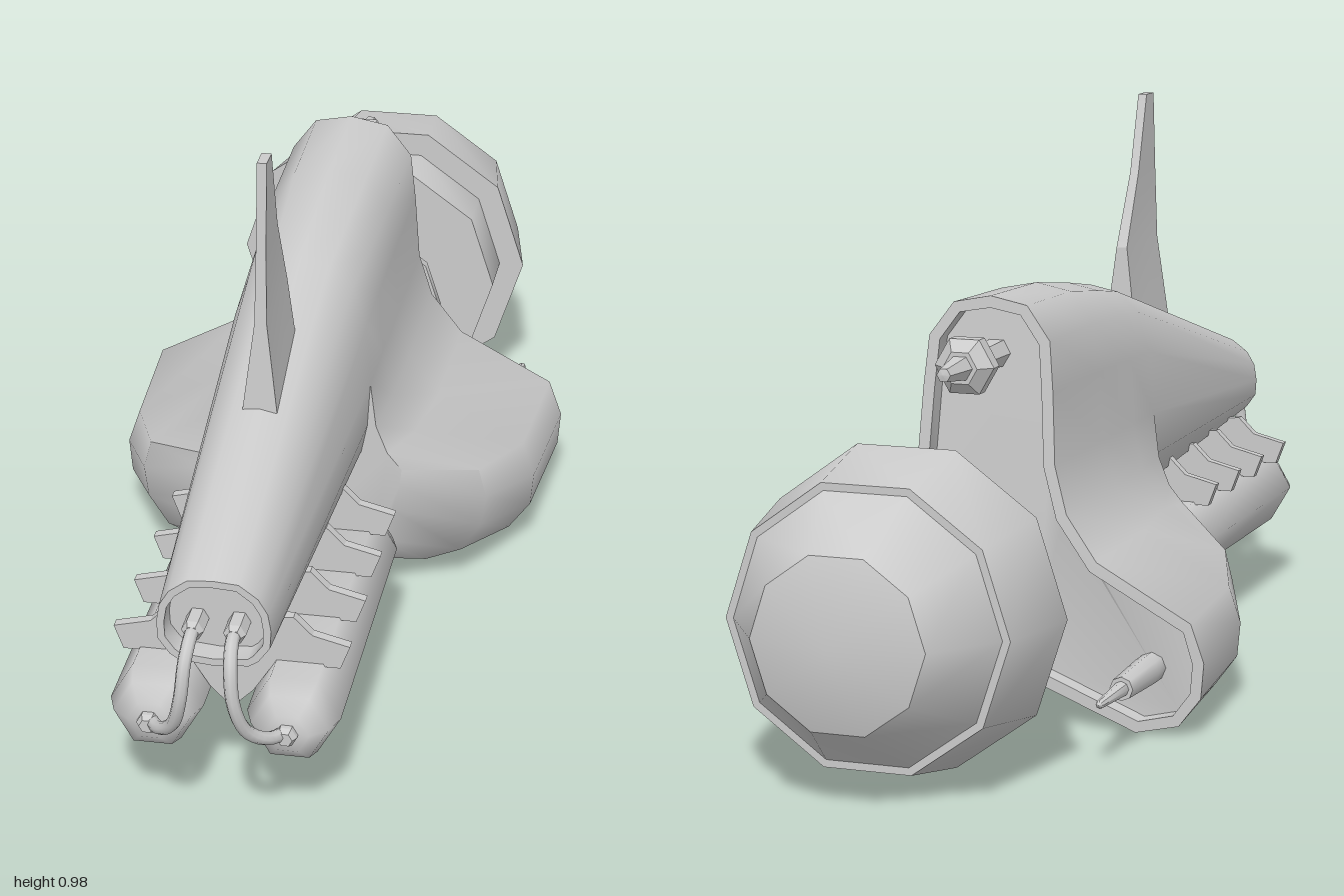
import * as THREE from 'three';
import { toCreasedNormals, mergeGeometries } from 'three/addons/utils/BufferGeometryUtils.js';

const material = new THREE.MeshStandardMaterial({ color: 0xcccccc });

// Skin between rings of [x, y, z], ordered front to back; optional end caps
function loft(rings, capFront = true, capBack = true) {
  const n = rings[0].length, index = [];
  for (let i = 0; i < rings.length - 1; i++) {
    for (let j = 0; j < n; j++) {
      const k = (j + 1) % n, a = i * n + j, b = i * n + k, c = a + n, d = b + n;
      index.push(a, c, b, b, c, d);
    }
  }
  const cap = (r, flip) => {
    const outline = rings[r].map(p => new THREE.Vector2(p[0], p[1]));
    for (const [a, b, c] of THREE.ShapeUtils.triangulateShape(outline, [])) {
      index.push(r * n + a, r * n + (flip ? c : b), r * n + (flip ? b : c));
    }
  };
  if (capFront) cap(0, false);
  if (capBack) cap(rings.length - 1, true);
  const g = new THREE.BufferGeometry();
  g.setAttribute('position', new THREE.Float32BufferAttribute(rings.flat(2), 3));
  g.setIndex(index);
  return g.toNonIndexed();
}

// Full symmetric outline from a top-to-bottom half outline
const mirrorHalf = half => [
  ...half.map(([x, y]) => [-x, y]),
  ...half.slice(1, -1).reverse(),
];
const atZ = (outline, z) => outline.map(([x, y]) => [x, y, typeof z === 'function' ? z(y) : z]);

// Outline moved inwards by distance d
function inset(outline, d) {
  const n = outline.length;
  return outline.map(([x, y], i) => {
    const p = outline[(i + n - 1) % n], q = outline[(i + 1) % n];
    const dx = q[0] - p[0], dy = q[1] - p[1], l = Math.hypot(dx, dy);
    return [x - dy / l * d, y + dx / l * d];
  });
}

// Turned part along z from [radius, z] pairs, z rising
function turned(profile, sides, crease) {
  const pts = profile.map(([r, z]) => new THREE.Vector2(r, z));
  const g = new THREE.LatheGeometry(pts, sides, Math.PI / 2).rotateX(Math.PI / 2);
  return toCreasedNormals(g, crease);
}

function hullGeometry() {
  // Nose tube, with a hollow front end
  const nose = mirrorHalf([[0, 0.46], [0.04, 0.457], [0.07, 0.435], [0.085, 0.41], [0.09, 0.38],
    [0.088, 0.35], [0.07, 0.325], [0.055, 0.315], [0, 0.31]]);
  const upper = [[0, 0.665], [0.05, 0.655], [0.09, 0.62], [0.113, 0.55], [0.12, 0.44]];
  const neck = mirrorHalf([...upper, [0.115, 0.36], [0.105, 0.31], [0.06, 0.28], [0, 0.275]]);
  const lip = inset(nose, 0.012);
  const tube = loft([atZ(lip, 0.89), atZ(lip, 0.93), atZ(nose, 0.93), atZ(neck, 0.2)], true, false);

  // Three-lobed rear body, flaring backwards
  const front = [...upper, [0.13, 0.36], [0.15, 0.31], [0.175, 0.28], [0.172, 0.25], [0.16, 0.2],
    [0.13, 0.14], [0.09, 0.1], [0.05, 0.088], [0, 0.085]];
  const rear = [[0, 0.715], [0.065, 0.702], [0.107, 0.645], [0.115, 0.56], [0.122, 0.44],
    [0.145, 0.36], [0.2, 0.285], [0.365, 0.195], [0.388, 0.13], [0.383, 0.07],
    [0.345, 0.02], [0.27, 0.003], [0.065, 0.085], [0, 0.085]];
  const between = (top, low) => mirrorHalf(front.map(([x, y], i) => {
    const t = i < 5 ? top : low;
    return [x + (rear[i][0] - x) * t, y + (rear[i][1] - y) * t];
  }));
  const end = between(1, 1), rim = inset(end, 0.02);
  const backZ = y => -0.34 + 0.04 * Math.max(0, y - 0.25) / 0.465;
  const body = loft([
    atZ(between(0, 0), 0.2), atZ(between(0.4, 0.62), 0.08), atZ(between(0.85, 0.92), -0.08),
    atZ(end, backZ), atZ(rim, backZ), atZ(rim, y => backZ(y) + 0.035),
  ]);
  return toCreasedNormals(mergeGeometries([tube, body]), 0.9);
}

// Dorsal fin: rectangles stacked from tip to root, [height, half width, front z, back z]
function finGeometry() {
  const rings = [[0.98, 0.008, 0.525, 0.485], [0.84, 0.008, 0.537, 0.44], [0.71, 0.01, 0.545, 0.37],
    [0.53, 0.032, 0.56, 0.362]].map(([y, w, f, b]) => [[-w, -f, y], [w, -f, y], [w, -b, y], [-w, -b, y]]);
  return toCreasedNormals(loft(rings).rotateX(-Math.PI / 2), 0.2);
}

export function createModel() {
  const model = new THREE.Group();
  const add = (name, geometry, x = 0, y = 0, z = 0) => {
    const m = new THREE.Mesh(geometry, material);
    m.name = name;
    m.position.set(x, y, z);
    model.add(m);
    return m;
  };

  add('hull', hullGeometry());
  add('dorsalFin', finGeometry());

  // Engine
  const axisY = 0.27;
  add('engineShaft', turned([[0.088, -0.6], [0.088, -0.28]], 10, 0.65), 0, axisY);
  for (const z of [-0.397, -0.47]) {
    add('shaftDisc', turned([[0, -0.009], [0.14, -0.009], [0.14, 0.009], [0, 0.009]], 10, 0.65), 0, axisY, z);
  }
  add('enginePod', turned([[0, -1], [0.145, -0.955], [0.225, -0.84], [0.238, -0.84], [0.27, -0.672],
    [0.225, -0.672], [0.225, -0.575], [0, -0.575]], 10, 0.65), 0, axisY);

  // Rear antenna with faceted bulb
  add('rearAntenna', turned([[0, -0.515], [0.012, -0.512], [0.022, -0.44], [0.03, -0.44], [0.052, -0.42],
    [0.052, -0.395], [0.03, -0.37], [0.022, -0.37], [0.026, -0.25]], 6, 0.3), 0, 0.615);

  // Clamp plate that carries both tanks
  const half = [[0, 0.32], [0.1, 0.33], [0.13, 0.3], [0.19, 0.285], [0.175, 0.245], [0.07, 0.245],
    [0.035, 0.19], [0, 0.155]];
  const clampShape = new THREE.Shape(mirrorHalf(half).map(p => new THREE.Vector2(...p)));
  const clamp = new THREE.ExtrudeGeometry(clampShape, { depth: 0.018, bevelEnabled: false });
  for (const z of [0.36, 0.5, 0.645, 0.79]) add('tankClamp', clamp, 0, 0, z - 0.009);

  // Paired parts
  const tank = turned([[0, 0.24], [0.035, 0.246], [0.062, 0.268], [0.075, 0.305],
    [0.075, 0.85], [0.062, 0.887], [0.035, 0.909], [0, 0.915]], 6, 1.1);
  const spike = turned([[0, -0.572], [0.007, -0.565], [0.013, -0.46], [0.02, -0.46], [0.025, -0.34],
    [0.025, -0.29]], 8, 0.85);
  const nozzle = turned([[0, -0.03], [0.018, -0.03], [0.018, 0.02], [0.012, 0.03], [0, 0.03]], 6, 0.3);
  for (const s of [1, -1]) {
    const side = s > 0 ? 'left' : 'right';
    add(side + 'Tank', tank, s * 0.11, 0.185);
    add(side + 'WingSpike', spike, s * 0.286, 0.108);
    add(side + 'NoseNozzle', nozzle, s * 0.033, 0.37, 0.91);
    add(side + 'TankNozzle', nozzle, s * 0.11, 0.187, 0.9);
    const path = new THREE.CatmullRomCurve3([
      [0.033, 0.37, 0.91], [0.033, 0.368, 0.95], [0.036, 0.34, 0.98], [0.042, 0.28, 0.989],
      [0.058, 0.225, 0.972], [0.085, 0.197, 0.945], [0.11, 0.187, 0.905],
    ].map(([x, y, z]) => new THREE.Vector3(s * x, y, z)));
    add(side + 'Hose', new THREE.TubeGeometry(path, 24, 0.011, 8));
  }
  return model;
}
